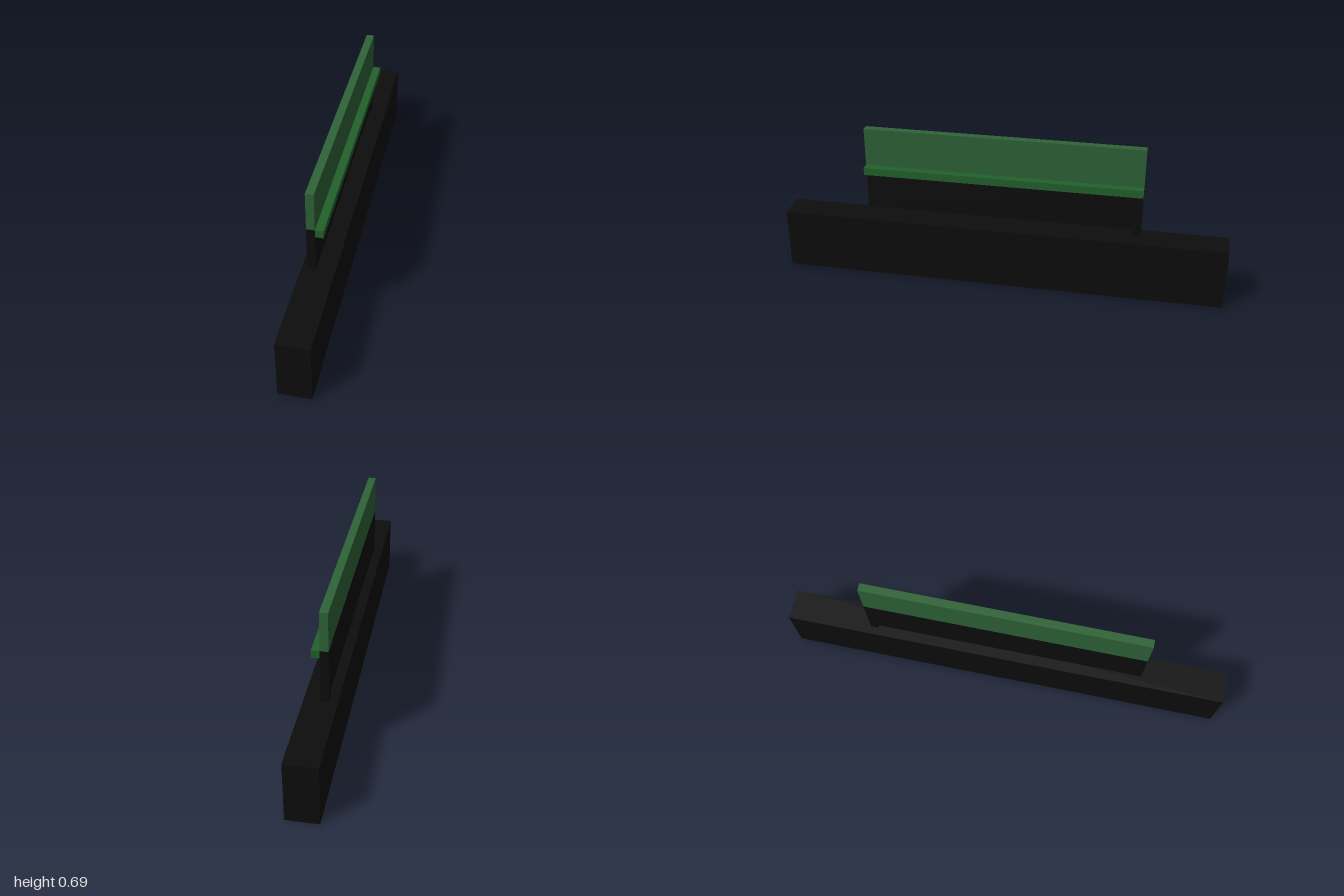
import * as THREE from 'three';

export function createModel() {
  const model = new THREE.Group();
  const material = (name, color) => {
    const m = new THREE.MeshStandardMaterial({ color });
    m.name = name;
    return m;
  };
  const black = material('black', 0x0d0d0d);
  const green = material('green', 0x2e6337);
  const ledgeGreen = material('ledge green', 0x22612c);

  // Box given by its lower and upper corners
  const addBox = (name, mat, [x0, y0, z0], [x1, y1, z1]) => {
    const mesh = new THREE.Mesh(new THREE.BoxGeometry(x1 - x0, y1 - y0, z1 - z0), mat);
    mesh.position.set((x0 + x1) / 2, (y0 + y1) / 2, (z0 + z1) / 2);
    mesh.name = name;
    model.add(mesh);
  };

  const baseTop = 0.276, unit = 0.0345, end = 0.62;
  const panelBottom = baseTop + unit, split = 0.517;

  // Long base block
  addBox('base', black, [-2 * unit, 0, -1], [2 * unit, baseTop, 1]);
  // Small post that holds the panel up at the back end
  addBox('post', black, [-unit, baseTop, -end], [0, panelBottom, -end + unit]);
  // Upright panel in two colours
  addBox('lowerPanel', black, [-unit, panelBottom, -end], [0, split, end]);
  addBox('upperPanel', green, [-unit, split, -end], [0, 0.69, end]);
  // Ledge along the left face of the panel
  addBox('ledge', ledgeGreen, [0, split - unit, -end], [unit, split, end]);

  return model;
}
